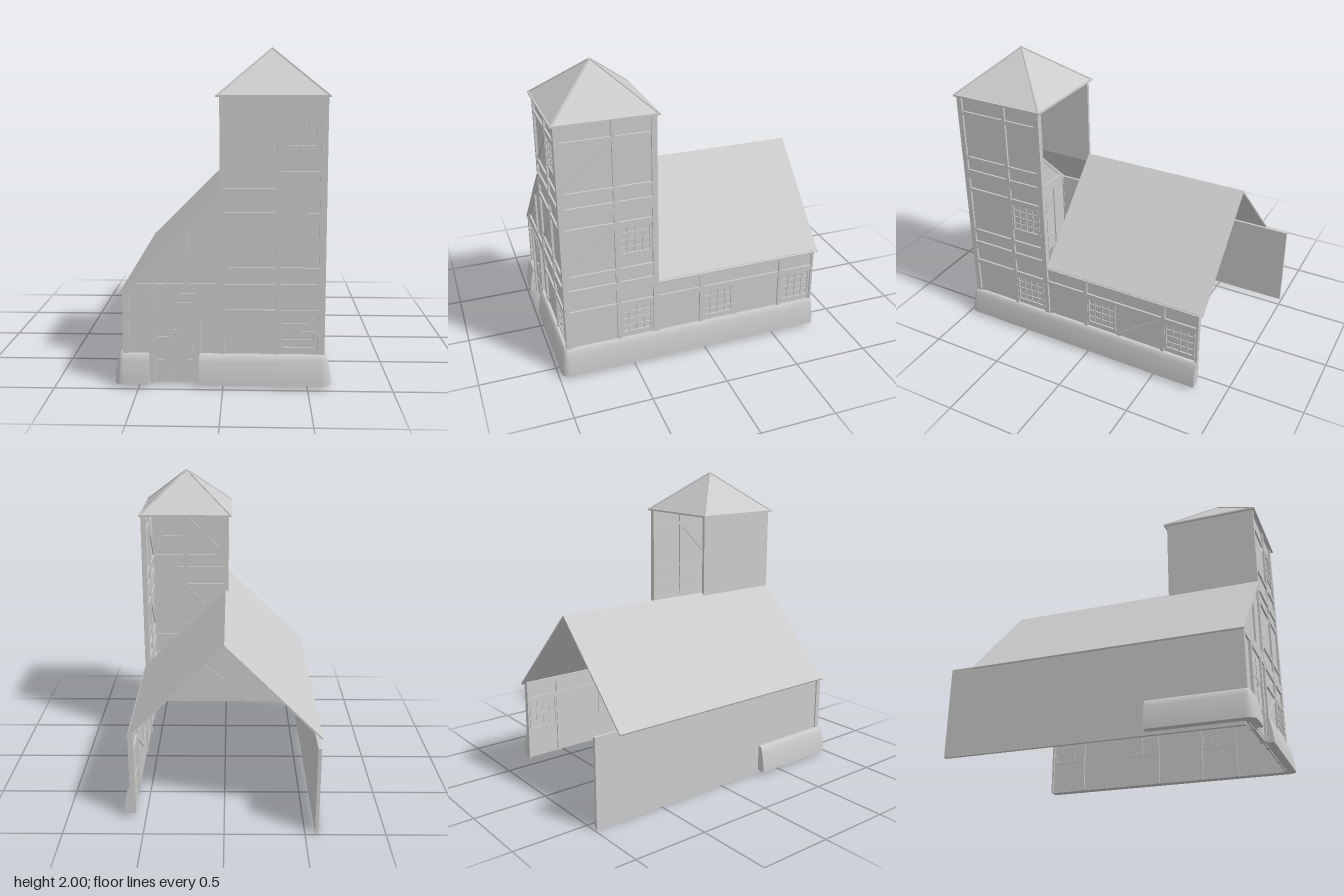
import * as THREE from 'three';
import { toCreasedNormals } from 'three/addons/utils/BufferGeometryUtils.js';

const mat = new THREE.MeshStandardMaterial({ color: 0xcccccc, side: THREE.DoubleSide });

function add(parent, name, geo) {
  const m = new THREE.Mesh(geo, mat);
  m.name = name;
  parent.add(m);
  return m;
}

// Box given by its extents
function box(parent, name, x0, x1, y0, y1, z0, z1) {
  const m = add(parent, name, new THREE.BoxGeometry(x1 - x0, y1 - y0, z1 - z0));
  m.position.set((x0 + x1) / 2, (y0 + y1) / 2, (z0 + z1) / 2);
  return m;
}

// Bar between two points of the wall plane, w deep centred on z
function brace(parent, name, x0, y0, x1, y1, width, z, depth) {
  const m = add(parent, name, new THREE.BoxGeometry(Math.hypot(x1 - x0, y1 - y0), width, depth));
  m.position.set((x0 + x1) / 2, (y0 + y1) / 2, z);
  m.rotation.z = Math.atan2(y1 - y0, x1 - x0);
}

function shape(points) {
  return new THREE.Shape(points.map(p => new THREE.Vector2(...p)));
}

function slab(parent, name, outline, holes, z0, z1) {
  const s = shape(outline);
  holes.forEach(h => s.holes.push(shape(h)));
  const m = add(parent, name, new THREE.ExtrudeGeometry(s, { depth: z1 - z0, bevelEnabled: false }));
  m.position.z = z0;
  return m;
}

// Lattice window: outer frame and 4 x 4 panes
function latticeWindow(parent, x0, x1, y0, y1, face) {
  const g = new THREE.Group();
  g.name = 'window';
  for (let i = 0; i <= 4; i++) {
    const t = i % 4 ? 0.004 : 0.007, d = i % 4 ? 0.004 : 0;
    const x = x0 + t + (x1 - x0 - 2 * t) * i / 4, y = y0 + t + (y1 - y0 - 2 * t) * i / 4;
    box(g, 'windowUpright', x - t, x + t, y0, y1, face - 0.031 + d, face - 0.003 - d);
    box(g, 'windowCrossbar', x0, x1, y - t, y + t, face - 0.03 + d, face - 0.004 - d);
  }
  parent.add(g);
}

// One timbered tower side, three storeys; posts = [[x0, x1], ...]
function towerSide(parent, posts, face, windows) {
  const x0 = posts[0][0], x1 = posts[2][1];
  box(parent, 'towerPanel', x0 + 0.01, x1 - 0.01, 0.02, 1.72, face - 0.024, face - 0.014);
  posts.forEach(p => box(parent, 'towerPost', p[0], p[1], 0.02, 1.72, face - 0.035, face));
  [[0.44, 0.47], [0.56, 0.625], [0.7, 0.725], [1.02, 1.05], [1.12, 1.19], [1.265, 1.29], [1.59, 1.615]]
    .forEach(b => box(parent, 'towerBeam', x0 + 0.01, x1 - 0.01, b[0], b[1], face - 0.033, face - 0.002));
  [[0.2, 0.44], [0.725, 1.02], [1.29, 1.59]].forEach((s, i) => {
    brace(parent, 'towerBrace', posts[0][1], s[0], posts[1][0], s[1], 0.025, face - 0.019, 0.024);
    if (windows[i]) latticeWindow(parent, posts[1][1], posts[1][1] + 0.215, s[1] - 0.21, s[1], face);
  });
}

// Flared footing swept along path entries [x, z, outward x, outward z]
function footing(parent, path) {
  const prof = [[0, 0.02], [0.055, 0.02], [0.053, 0.06], [0.046, 0.11], [0.036, 0.16], [0.028, 0.19], [0.018, 0.2], [0, 0.2]];
  const n = prof.length, pos = [], idx = [];
  path.forEach(([x, z, nx, nz]) => prof.forEach(([o, y]) => pos.push(x + nx * o, y, z + nz * o)));
  for (let i = 0; i < path.length - 1; i++) {
    for (let j = 0; j < n; j++) {
      const a = i * n + j, b = i * n + (j + 1) % n;
      idx.push(a, a + n, b + n, a, b + n, b);
    }
  }
  const e = (path.length - 1) * n;
  for (let j = 1; j < n - 1; j++) idx.push(0, j, j + 1, e, e + j + 1, e + j);
  const geo = new THREE.BufferGeometry();
  geo.setAttribute('position', new THREE.Float32BufferAttribute(pos, 3));
  geo.setIndex(idx);
  add(parent, 'footing', toCreasedNormals(geo, 0.6));
}

// Rounded corner entries turning between two outward angles
function corner(x, z, a0, a1) {
  return Array.from({ length: 6 }, (_, i) => {
    const a = a0 + (a1 - a0) * i / 5;
    return [x, z, Math.cos(a), Math.sin(a)];
  });
}

export function createModel() {
  const model = new THREE.Group();
  model.name = 'timberHouse';
  const front = new THREE.Group(), right = new THREE.Group();
  front.name = 'frontWall';
  right.name = 'sideWall';
  right.rotation.y = Math.PI / 2; // local x runs towards the back
  model.add(front, right);

  // Tower
  towerSide(front, [[-0.02, 0.01], [0.31, 0.335], [0.56, 0.598]], 0.94, [1, 0, 1]);
  towerSide(right, [[-0.94, -0.905], [-0.6, -0.575], [-0.355, -0.32]], 0.6, [1, 1, 0]);
  box(model, 'towerInnerWall', -0.02, 0, 1.12, 1.72, 0.32, 0.935);

  // Tower roof with hip ridges and eave strips
  const roof = new THREE.Group();
  roof.name = 'towerRoof';
  roof.position.set(0.285, 0, 0.63);
  model.add(roof);
  const h = 0.325;
  const cone = new THREE.ConeGeometry(h * Math.SQRT2, 0.275, 4, 1, true).rotateY(Math.PI / 4).toNonIndexed();
  cone.computeVertexNormals();
  add(roof, 'pyramid', cone).position.y = 1.8575;
  for (let i = 0; i < 4; i++) {
    const side = new THREE.Group();
    side.name = 'roofEdge';
    side.rotation.y = i * Math.PI / 2;
    roof.add(side);
    box(side, 'eave', -h, h, 1.714, 1.726, h - 0.01, h + 0.002);
    const hip = new THREE.LineCurve3(new THREE.Vector3(h, 1.72, h), new THREE.Vector3(0, 1.995, 0));
    add(side, 'hipRidge', new THREE.TubeGeometry(hip, 1, 0.006, 6));
  }

  // Main roof, left slope full length, right slope up to the tower
  slab(model, 'leftRoof', [[0, 1.18], [-0.61, 0.57], [-0.605, 0.56], [0, 1.165]], [], -0.825, 0.945);
  slab(model, 'rightRoof', [[0, 1.18], [0, 1.165], [0.597, 0.568], [0.605, 0.575]], [], -0.825, 0.32);

  // Front wall left of the tower
  box(front, 'frontPanel', -0.59, -0.01, 0.02, 0.57, 0.916, 0.926);
  slab(front, 'gablePanel', [[-0.59, 0.57], [-0.01, 0.57], [-0.01, 1.15]], [], 0.916, 0.926);
  slab(front, 'gableFrame', [[-0.595, 0.56], [-0.01, 0.56], [-0.01, 1.155], [-0.595, 0.57]], [
    [[-0.51, 0.625], [-0.225, 0.625], [-0.225, 0.91]],
    [[-0.205, 0.625], [-0.04, 0.625], [-0.04, 1.095], [-0.205, 0.93]],
  ], 0.905, 0.938);
  box(front, 'cornerPost', -0.595, -0.56, 0.02, 0.57, 0.905, 0.94);

  // Door in its frame
  const door = new THREE.Group();
  door.name = 'door';
  front.add(door);
  box(door, 'leaf', -0.405, -0.165, 0.02, 0.545, 0.91, 0.932);
  [-0.435, -0.165].forEach(x => box(door, 'jamb', x, x + 0.03, 0.02, 0.56, 0.9, 0.945));
  box(door, 'lintel', -0.41, -0.16, 0.545, 0.57, 0.902, 0.943);
  for (const x of [-0.39, -0.275]) {
    for (const [y0, y1] of [[0.04, 0.16], [0.19, 0.3], [0.37, 0.51]]) {
      box(door, 'doorPanel', x, x + 0.095, y0, y1, 0.906, 0.936);
    }
  }
  add(door, 'knocker', new THREE.TorusGeometry(0.011, 0.004, 8, 20)).position.set(-0.285, 0.335, 0.938);

  // Long right wall behind the tower
  box(right, 'sidePanel', -0.33, 0.8, 0.02, 0.58, 0.576, 0.586);
  [[-0.035, -0.01], [-0.035 + 0.575, 0.565], [0.785, 0.8]]
    .forEach(p => box(right, 'sidePost', p[0], p[1], 0.02, 0.58, 0.565, 0.6));
  box(right, 'sideBeam', -0.325, 0.798, 0.44, 0.47, 0.567, 0.598);
  box(right, 'wallPlate', -0.325, 0.798, 0.56, 0.585, 0.567, 0.598);
  [[-0.32, -0.035], [0.21, 0.54]].forEach(([a, b]) => brace(right, 'sideBrace', a, 0.2, b, 0.44, 0.025, 0.581, 0.024));
  [-0.01, 0.565].forEach(x => latticeWindow(right, x, x + 0.215, 0.23, 0.44, 0.6));

  // Plain left wall running past the back of the roof
  box(model, 'leftWall', -0.585, -0.563, 0, 0.585, -0.985, 0.912);

  // Footing on either side of the door
  const P = Math.PI;
  footing(model, [[-0.59, 0.34, -1, 0], ...corner(-0.59, 0.93, P, P / 2), [-0.44, 0.93, 0, 1]]);
  footing(model, [[-0.14, 0.93, 0, 1], ...corner(0.585, 0.93, P / 2, 0), [0.585, -0.8, 1, 0]]);
  return model;
}
